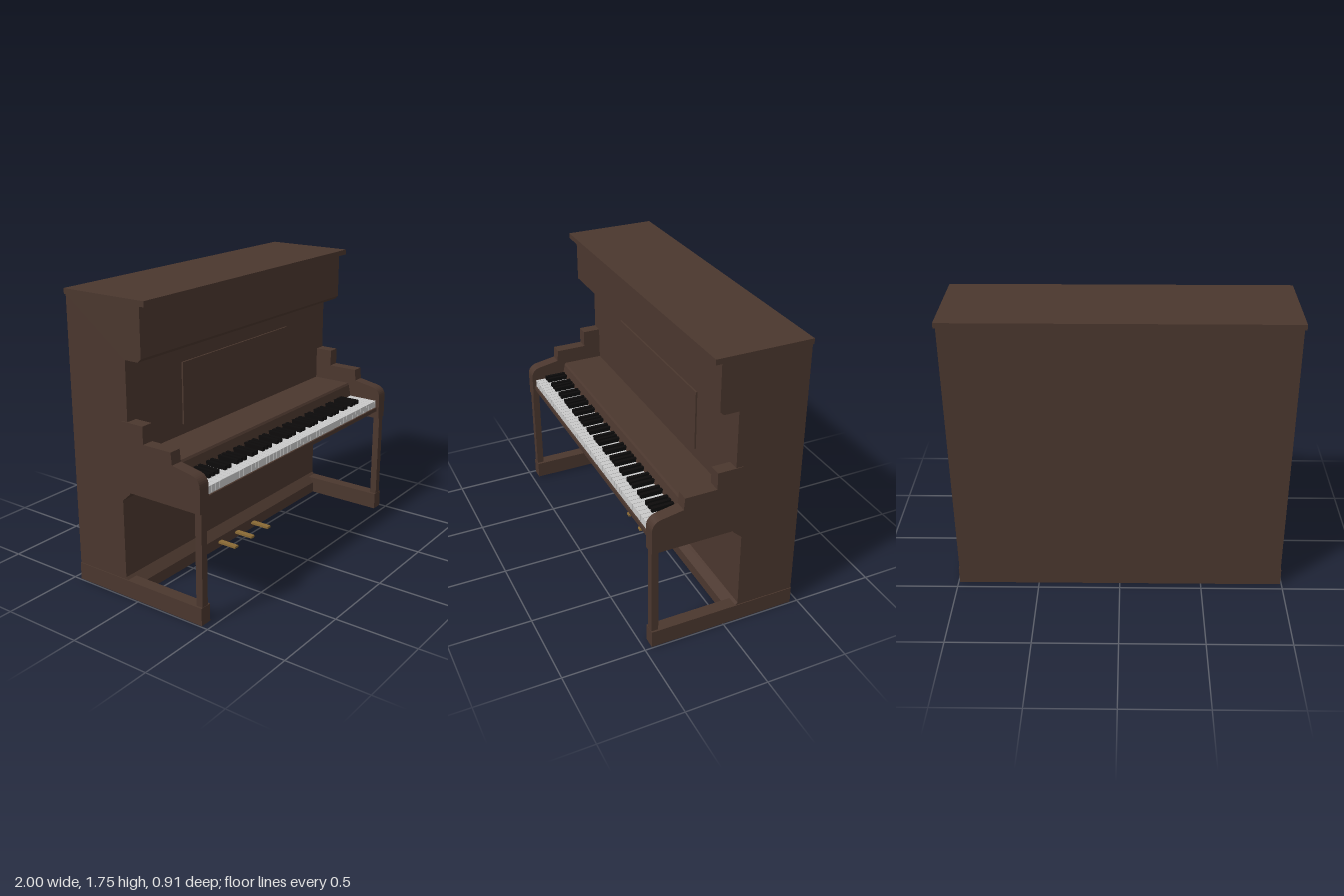
import * as THREE from 'three';

const mat = (name, color) => {
  const m = new THREE.MeshStandardMaterial({ color });
  m.name = name;
  return m;
};

export function createModel() {
  const wood = mat('dark wood', 0x4b372e);
  const ivory = mat('white key', 0xcacaca);
  const ebony = mat('black key', 0x0c0a0a);
  const brass = mat('brass', 0x8a6a35);

  const piano = new THREE.Group();
  piano.name = 'uprightPiano';

  const add = (name, geo, material, parent = piano) => {
    const mesh = new THREE.Mesh(geo, material);
    mesh.name = name;
    parent.add(mesh);
    return mesh;
  };
  // box given by its limits on each axis
  const box = (name, [x0, x1], [y0, y1], [z0, z1], material, parent) => {
    const geo = new THREE.BoxGeometry(x1 - x0, y1 - y0, z1 - z0);
    geo.translate((x0 + x1) / 2, (y0 + y1) / 2, (z0 + z1) / 2);
    return add(name, geo, material, parent);
  };
  // side profile of (z, y) points swept from x0 to x1
  const sweep = (name, shape, x0, x1, material, parent) => {
    const geo = new THREE.ExtrudeGeometry(shape, { depth: x1 - x0, bevelEnabled: false, curveSegments: 8 });
    geo.rotateY(-Math.PI / 2).translate(x1, 0, 0);
    return add(name, geo, material, parent);
  };
  const outline = (pts) => new THREE.Shape(pts.map(([z, y]) => new THREE.Vector2(z, y)));

  // cabinet with overhanging top, sloped underside of the shelf and sloped plinth
  sweep('cabinet', outline([
    [-0.455, 0], [-0.045, 0], [-0.045, 0.07], [-0.095, 0.12], [-0.095, 0.595], [-0.04, 0.645],
    [-0.04, 1.41], [0.05, 1.41], [0.072, 1.432], [0.072, 1.715], [-0.455, 1.715],
  ]), -0.987, 0.987, wood);
  box('lid', [-1, 1], [1.713, 1.745], [-0.455, 0.115], wood);
  box('musicPanel', [-0.527, 0.527], [0.925, 1.295], [-0.045, -0.03], wood);

  // fallboard above the keys
  sweep('fallboard', outline([
    [-0.06, 0.72], [0.235, 0.72], [0.235, 0.78], [0.22, 0.85], [0.212, 0.863], [-0.06, 0.863],
  ]), -0.925, 0.925, wood);
  box('keyBed', [-0.925, 0.925], [0.706, 0.732], [-0.06, 0.44], wood);

  // stepped arms with rounded noses, legs and feet on both sides
  const armShape = outline([
    [-0.08, 0.656], [0.455, 0.656], [0.455, 0.8],
  ]);
  armShape.bezierCurveTo(0.455, 0.835, 0.435, 0.86, 0.4, 0.867);
  for (const [z, y] of [[0.27, 0.89], [0.263, 0.962], [0.072, 0.962], [0.072, 1.065], [-0.08, 1.065]]) {
    armShape.lineTo(z, y);
  }
  for (const [side, s] of [['left', 1], ['right', -1]]) {
    const span = (a, b) => (s > 0 ? [a, b] : [-b, -a]);
    sweep(side + 'Arm', armShape, ...span(0.918, 0.992), wood);
    box(side + 'Leg', span(0.935, 0.98), [0.1, 0.66], [0.41, 0.453], wood);
    box(side + 'Foot', span(0.918, 0.992), [0, 0.106], [-0.455, 0.455], wood);
  }

  // keyboard: 52 white keys, the outermost ones partly under the arms
  const keys = new THREE.Group();
  keys.name = 'keyboard';
  piano.add(keys);
  const pitch = 0.0359, left = -26 * pitch, gap = 0.0015;
  for (let i = 0; i < 52; i++) {
    const x = left + i * pitch;
    box('whiteKey', [x + gap, x + pitch - gap], [0.73, 0.777], [0.2, 0.43], ivory, keys);
  }
  // black keys in groups of two and three
  for (let octave = 0; octave < 7; octave++) {
    for (const step of [1, 2, 4, 5, 6]) {
      const x = left + (octave * 7 + step) * pitch;
      box('blackKey', [x - 0.011, x + 0.011], [0.77, 0.802], [0.2, 0.365], ebony, keys);
    }
  }

  // three pedals
  for (const x of [-0.177, 0, 0.177]) {
    box('pedal', [x - 0.017, x + 0.017], [0.03, 0.044], [-0.06, 0.085], brass);
  }
  return piano;
}
